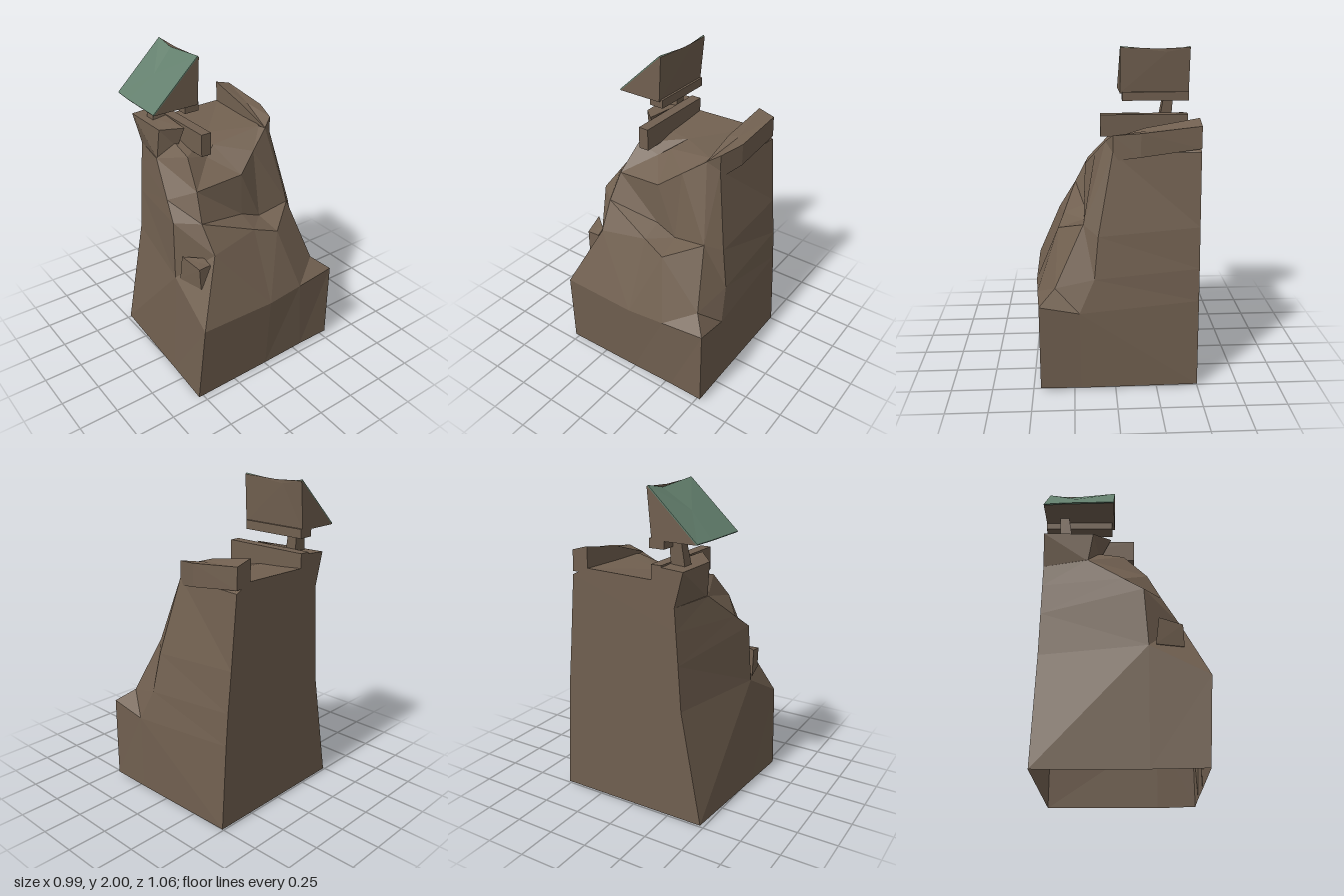
import * as THREE from 'three';

// The rock is an open shell, so its material shows from both sides
const stone = new THREE.MeshStandardMaterial({ color: 0x716050, side: THREE.DoubleSide });
stone.name = 'brownStone';
const green = new THREE.MeshStandardMaterial({ color: 0x637f6d });
green.name = 'greenRoof';

const distance = (p, q) => Math.hypot(p[0] - q[0], p[1] - q[1], p[2] - q[2]);

// Faceted solid through stacked loops of equal length, bottom to top.
// Each loop runs counterclockwise seen from above, starting at the front left.
function loft(name, material, loops, openBottom = false) {
  const pos = [];
  const tri = (a, b, c) => pos.push(...a, ...b, ...c);
  const centre = (loop) => [0, 1, 2].map((k) => loop.reduce((s, p) => s + p[k], 0) / loop.length);
  const n = loops[0].length;
  const last = loops[loops.length - 1];
  const low = centre(loops[0]);
  const high = centre(last);
  for (let i = 0; i < n; i++) {
    const j = (i + 1) % n;
    for (let r = 0; r + 1 < loops.length; r++) {
      const a = loops[r];
      const b = loops[r + 1];
      // Split each quad along its shorter diagonal
      if (distance(a[i], b[j]) <= distance(a[j], b[i])) {
        tri(a[i], a[j], b[j]);
        tri(a[i], b[j], b[i]);
      } else {
        tri(a[i], a[j], b[i]);
        tri(a[j], b[j], b[i]);
      }
    }
    if (!openBottom) tri(loops[0][j], loops[0][i], low);
    tri(last[i], last[j], high);
  }
  const geometry = new THREE.BufferGeometry();
  geometry.setAttribute('position', new THREE.Float32BufferAttribute(pos, 3));
  geometry.computeVertexNormals();
  const mesh = new THREE.Mesh(geometry, material);
  mesh.name = name;
  return mesh;
}

function box(name, x0, x1, y0, y1, z0, z1) {
  const mesh = new THREE.Mesh(new THREE.BoxGeometry(x1 - x0, y1 - y0, z1 - z0), stone);
  mesh.position.set((x0 + x1) / 2, (y0 + y1) / 2, (z0 + z1) / 2);
  mesh.name = name;
  return mesh;
}

export function createModel() {
  const model = new THREE.Group();
  model.name = 'ruinedCliff';

  // Main rock, open underneath: loops from the base to the summit
  const base = [[-0.5, 0.01, 0.48], [0.14, 0, 0.51], [0.455, 0, 0.53], [0.455, 0.01, 0],
    [0.455, 0.02, -0.3], [0.455, 0.02, -0.53], [0.21, 0.01, -0.52], [-0.5, 0.01, -0.51]];
  const shoulder = [[-0.5, 0.72, 0.345], [0.145, 0.72, 0.48], [0.49, 0.53, 0.5], [0.49, 0.52, 0],
    [0.475, 0.535, -0.25], [0.455, 0.55, -0.53], [0.215, 0.5, -0.52], [-0.5, 0.55, -0.48]];
  const shelf = [[-0.5, 1.0, 0.325], [0.12, 1.09, 0.465], [0.338, 0.92, 0.32], [0.305, 0.97, 0],
    [0.34, 0.92, -0.155], [0.36, 0.63, -0.435], [0.125, 0.70, -0.485], [-0.5, 0.75, -0.465]];
  const gully = [[-0.5, 1.2, 0.31], [0, 1.18, 0.428], [0.23, 1.09, 0.335], [0.177, 1.02, 0],
    [0.18, 0.965, -0.135], [0.186, 1.0, -0.355], [0.1, 0.95, -0.44], [-0.5, 1.0, -0.44]];
  const brow = [[-0.5, 1.34, 0.30], [-0.22, 1.35, 0.36], [0.145, 1.26, 0.31], [0.167, 1.29, 0],
    [0.108, 1.388, -0.135], [0.05, 1.485, -0.27], [0.01, 1.43, -0.34], [-0.5, 1.44, -0.40]];
  const summit = [[-0.5, 1.48, 0.25], [-0.2, 1.46, 0.26], [0, 1.42, 0.275], [-0.01, 1.375, 0.13],
    [-0.046, 1.425, 0.06], [0, 1.485, -0.26], [-0.1, 1.49, -0.3], [-0.5, 1.49, -0.3]];
  model.add(loft('rock', stone, [base, shoulder, shelf, gully, brow, summit], true));

  // Flared ledge at the front of the summit
  model.add(loft('frontLedge', stone, [
    [[-0.5, 1.34, 0.30], [-0.22, 1.345, 0.355], [-0.15, 1.42, 0.25], [-0.5, 1.42, 0.17]],
    [[-0.5, 1.55, 0.355], [-0.19, 1.545, 0.35], [-0.08, 1.57, 0.24], [-0.5, 1.56, 0.2]],
  ]));

  // Back parapet, falling and tapering towards the right
  model.add(loft('parapet', stone, [
    [[-0.5, 1.46, -0.29], [-0.18, 1.44, -0.27], [0.05, 1.42, -0.27],
      [0.01, 1.38, -0.34], [-0.15, 1.41, -0.39], [-0.5, 1.46, -0.40]],
    [[-0.5, 1.62, -0.29], [-0.18, 1.56, -0.27], [0.05, 1.487, -0.27],
      [0.01, 1.53, -0.34], [-0.15, 1.55, -0.39], [-0.5, 1.59, -0.395]],
  ]));

  // Stone sticking out of the front slope
  model.add(loft('jutStone', stone, [
    [[0.185, 0.73, 0.47], [0.35, 0.73, 0.43], [0.35, 0.73, 0.33], [0.25, 0.73, 0.33]],
    [[0.205, 0.9, 0.465], [0.345, 0.868, 0.435], [0.34, 0.868, 0.355], [0.285, 0.89, 0.36]],
  ]));

  // Beams and post that carry the little roof
  model.add(box('groundBeam', -0.5, 0.065, 1.43, 1.57, 0.15, 0.217));
  model.add(box('roofBeam', -0.5, -0.075, 1.66, 1.715, 0.14, 0.235));
  model.add(loft('post', stone, [
    [[-0.4, 1.54, 0.31], [-0.325, 1.54, 0.31], [-0.325, 1.54, 0.22], [-0.4, 1.54, 0.22]],
    [[-0.41, 1.73, 0.285], [-0.355, 1.73, 0.285], [-0.355, 1.73, 0.21], [-0.41, 1.73, 0.21]],
  ]));

  // Wedge under the roof and its green sloping skin; the ridge sags
  const xs = [-0.5, -0.36, -0.06];
  const ridge = [1.993, 1.967, 1.993];
  const ridgeZ = [0.132, 0.138, 0.145];
  const eave = [0.437, 0.448, 0.455];
  const line = (f) => xs.map((x, i) => [x, ...f(i)]);
  const eaveLine = line((i) => [1.705, eave[i]]);
  const ridgeLine = line((i) => [ridge[i], ridgeZ[i]]);
  const footLine = line(() => [1.705, 0.155]).reverse();
  const backLine = line((i) => [ridge[i] - 0.002, ridgeZ[i] - 0.004]).reverse();
  model.add(loft('roofBody', stone, [[...eaveLine, ...footLine], [...ridgeLine, ...backLine]]));
  const under = [...eaveLine, ...[...ridgeLine].reverse()];
  const over = under.map(([x, y, z]) => [x, y + 0.006, z + 0.004]);
  model.add(loft('roofSkin', green, [under, over]));

  return model;
}
